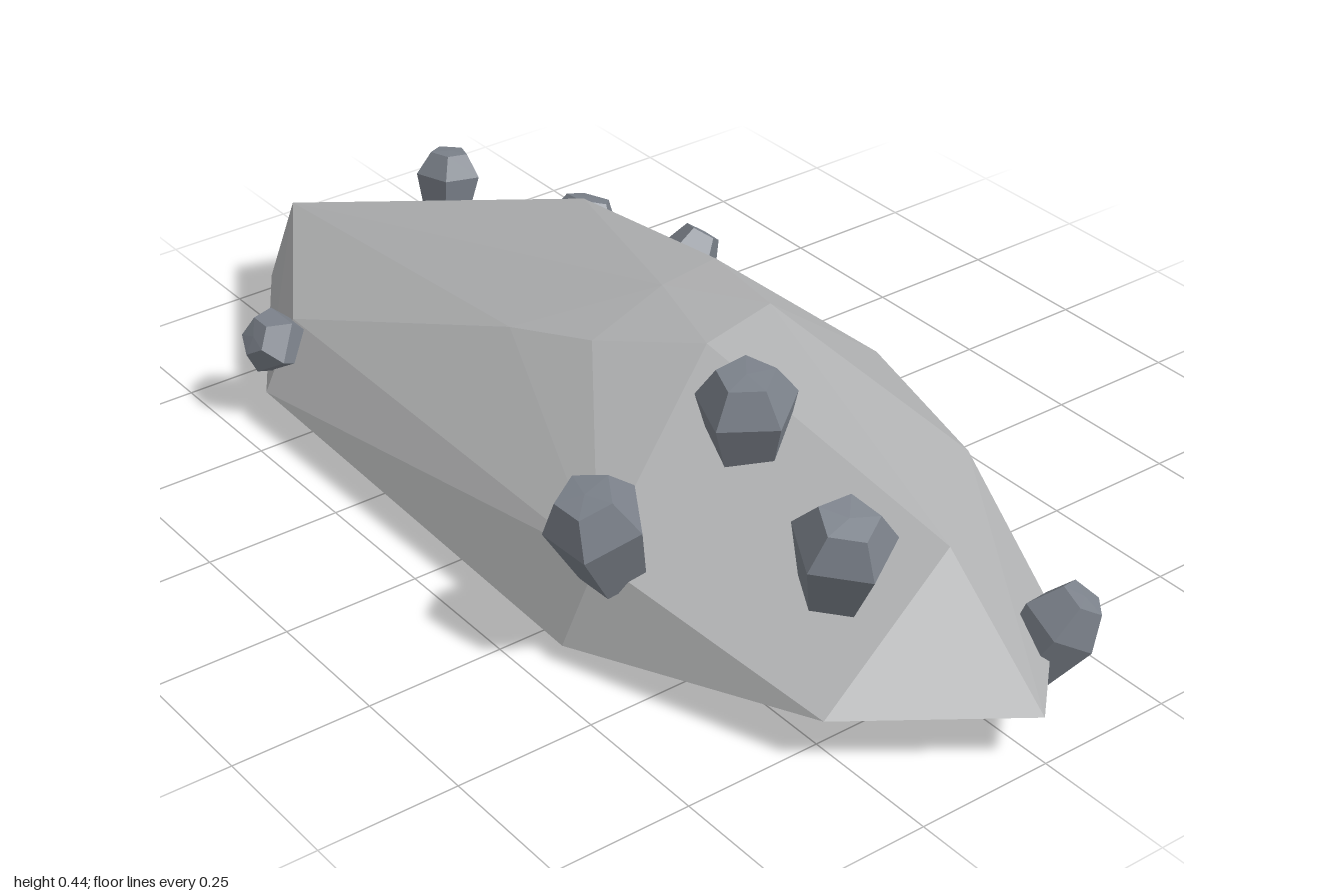
import * as THREE from 'three';
import { ConvexGeometry } from 'three/addons/geometries/ConvexGeometry.js';

export function createModel() {
  const group = new THREE.Group();
  const rock = new THREE.MeshStandardMaterial({ color: 0xafb0b1, flatShading: true });
  rock.name = 'pale rock';
  const ore = new THREE.MeshStandardMaterial({ color: 0x7b818a, flatShading: true });
  ore.name = 'blue grey stone';

  // Boulder: faceted hull around a few corner points
  const corners = [
    // flat underside
    [-0.85, 0.03, 0.1], [-0.57, 0.03, 0.38], [0.34, 0.03, 0.44],
    [0.76, 0.035, 0.2], [0.25, 0.03, -0.26], [-0.78, 0.03, -0.15],
    // widest rim
    [-1, 0.08, 0], [-0.96, 0.19, 0.14], [-0.92, 0.075, 0.22],
    [-0.57, 0.065, 0.442], [0.8, 0.085, 0.28], [1, 0.09, 0.01],
    [0.8, 0.08, -0.2], [-0.28, 0.08, -0.41], [-0.85, 0.08, -0.26],
    // shoulders
    [-0.6, 0.175, 0.36], [0.35, 0.175, 0.375], [0.2, 0.235, -0.335],
    // crown
    [0.55, 0.25, -0.23], [0.74, 0.25, -0.02], [0.18, 0.4, -0.11],
    [0.2, 0.385, 0.04], [0, 0.385, -0.02], [-0.02, 0.385, -0.15],
    [-0.42, 0.33, -0.16], [0.03, 0.35, 0.15], [-0.14, 0.315, 0.2],
  ].map((p) => new THREE.Vector3(...p));
  const boulder = new THREE.Mesh(new ConvexGeometry(corners), rock);
  boulder.name = 'boulder';
  group.add(boulder);

  // Nodule: five-sided stub with a bevelled cap, tapering to its root
  const profile = [[0, -1.1], [0.68, -1.1], [1, 0.3], [0.58, 1], [0, 1.03]]
    .map(([r, y]) => new THREE.Vector2(r, y));
  const noduleShape = new THREE.LatheGeometry(profile, 5).toNonIndexed();
  noduleShape.computeVertexNormals();

  // centre, radius, half length, growth direction, spin
  const nodules = [
    [[0.37, 0.35, 0.09], 0.088, 0.082, [0.1, 1, 0.12], 0.3],
    [[0.37, 0.245, 0.385], 0.087, 0.09, [0.08, 0.9, 0.35], 0.7],
    [[0.69, 0.285, 0.16], 0.088, 0.082, [0.3, 1, 0.1], 0.2],
    [[-0.59, 0.145, 0.4], 0.062, 0.055, [0, 0.5, 0.85], 0],
    [[-0.78, 0.235, -0.1], 0.062, 0.06, [-0.1, 1, -0.15], 0.9],
    [[-0.63, 0.115, -0.305], 0.076, 0.075, [-0.1, 0.85, -0.3], 0.5],
    [[-0.43, 0.095, -0.395], 0.062, 0.085, [0, 0.78, -0.58], 0.2],
    [[0.86, 0.103, -0.135], 0.068, 0.085, [0.36, 0.85, -0.42], 0.6],
  ];
  const up = new THREE.Vector3(0, 1, 0);
  nodules.forEach(([centre, radius, half, dir, spin], i) => {
    const nodule = new THREE.Mesh(noduleShape, ore);
    nodule.name = `nodule${i + 1}`;
    nodule.position.set(...centre);
    nodule.scale.set(radius, half, radius);
    nodule.quaternion.setFromUnitVectors(up, new THREE.Vector3(...dir).normalize());
    nodule.rotateY(spin);
    group.add(nodule);
  });

  return group;
}
